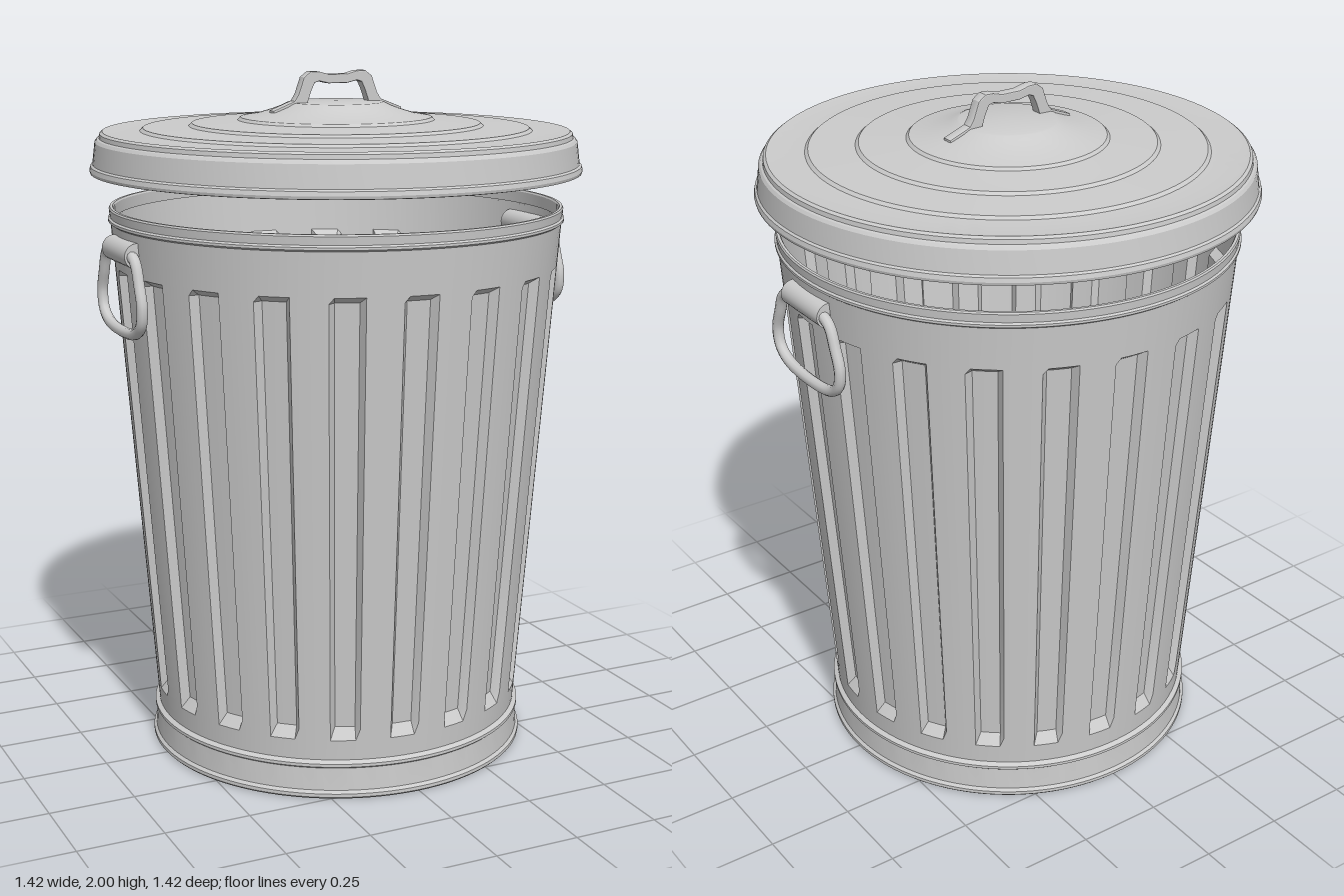
import * as THREE from 'three';
import { toCreasedNormals } from 'three/addons/utils/BufferGeometryUtils.js';

const metal = new THREE.MeshStandardMaterial({ color: 0xcccccc, side: THREE.DoubleSide });
const rad = THREE.MathUtils.degToRad;

function part(name, geometry, parent, crease = 0.5) {
  const mesh = new THREE.Mesh(crease ? toCreasedNormals(geometry, crease) : geometry, metal);
  mesh.name = name;
  parent.add(mesh);
  return mesh;
}

const lathe = (points) =>
  new THREE.LatheGeometry(points.map(([r, y]) => new THREE.Vector2(r, y)), 120);

// Tapered sheet wall with 20 pressed-in flutes
function flutedWall() {
  const flutes = 20, pitch = 360 / flutes, depth = 0.025;
  const offsets = [-9, -6.7, -4.4, -3.1, 0, 3.1, 4.4, 6.7];
  const heights = [0.11, 0.172, 0.205, 0.6, 1.0, 1.435, 1.452, 1.58];
  const cols = flutes * offsets.length;
  const positions = [], index = [];
  heights.forEach((y, j) => {
    const wall = 0.545 + (y - 0.11) * 0.075;
    for (let i = 0; i < cols; i++) {
      const off = offsets[i % offsets.length];
      const angle = rad(Math.floor(i / offsets.length) * pitch - 4.5 + off);
      const sunk = Math.abs(off) < 4 && j >= 2 && j <= 5;
      const r = wall - (sunk ? depth : 0);
      positions.push(r * Math.sin(angle), y, r * Math.cos(angle));
      if (j < heights.length - 1) {
        const a = j * cols + i, b = j * cols + ((i + 1) % cols);
        index.push(a, b, b + cols, a, b + cols, a + cols);
      }
    }
  });
  const geometry = new THREE.BufferGeometry();
  geometry.setAttribute('position', new THREE.Float32BufferAttribute(positions, 3));
  geometry.setIndex(index);
  return geometry;
}

// Hanging D-shaped ring held by a rolled sleeve, on the +x side
function sideHandle() {
  const group = new THREE.Group();
  const half = [[0.09, 1.518], [0.125, 1.5], [0.15, 1.445], [0.17, 1.385], [0.158, 1.335], [0.105, 1.303]];
  const loop = [...half, ...half.slice().reverse().map(([z, y]) => [-z, y])];
  const path = new THREE.CatmullRomCurve3(
    loop.map(([z, y]) => new THREE.Vector3(0.663, y, z)), true, 'centripetal');
  part('handleRing', new THREE.TubeGeometry(path, 96, 0.016, 10, true), group, 0);
  const sleeve = new THREE.CylinderGeometry(0.036, 0.036, 0.195, 24);
  sleeve.rotateX(Math.PI / 2).translate(0.649, 1.518, 0);
  part('handleSleeve', sleeve, group);
  return group;
}

// Bent strap on the lid, with feet lying along the slope
function lidHandle() {
  const outer = [[0.2, 1.89], [0.135, 1.915], [0.122, 1.935], [0.105, 1.982], [0.085, 1.997], [0.06, 1.996], [0.03, 1.988]];
  const inner = [[0.03, 1.968], [0.06, 1.975], [0.076, 1.97], [0.088, 1.945], [0.1, 1.91], [0.13, 1.892], [0.2, 1.868]];
  const flip = (points) => points.slice().reverse().map(([x, y]) => [-x, y]);
  const outline = [...outer, ...flip(outer), ...flip(inner), ...inner];
  const shape = new THREE.Shape(outline.map(([x, y]) => new THREE.Vector2(x, y)));
  const geometry = new THREE.ExtrudeGeometry(shape, {
    depth: 0.026, bevelEnabled: true, bevelThickness: 0.004, bevelSize: 0.003, bevelSegments: 2,
  });
  return geometry.translate(0, 0, -0.013);
}

export function createModel() {
  const model = new THREE.Group();
  model.name = 'trashCan';

  const can = new THREE.Group();
  can.name = 'can';
  model.add(can);
  part('flutedWall', flutedWall(), can);

  // Recessed floor, foot ring and base band
  part('base', lathe([
    [0, 0.03], [0.485, 0.03], [0.49, 0], [0.558, 0], [0.564, 0.006], [0.564, 0.016],
    [0.556, 0.024], [0.552, 0.09], [0.558, 0.095], [0.558, 0.104], [0.545, 0.112],
  ]), can);

  // Rolled upper rim
  part('rim', lathe([
    [0.655, 1.575], [0.662, 1.58], [0.662, 1.587], [0.657, 1.592], [0.659, 1.615],
    [0.656, 1.62], [0.648, 1.62], [0.645, 1.615], [0.645, 1.58],
  ]), can);

  // Ring handles on both sides
  for (const [name, turn] of [['leftHandle', 0], ['rightHandle', Math.PI]]) {
    const handle = sideHandle();
    handle.name = name;
    handle.rotation.y = turn;
    can.add(handle);
  }

  // Floating lid: beaded skirt, stepped rings and raised centre
  const lid = new THREE.Group();
  lid.name = 'lid';
  model.add(lid);
  part('lidShell', lathe([
    [0.7, 1.715], [0.709, 1.717], [0.711, 1.725], [0.708, 1.737], [0.702, 1.742],
    [0.694, 1.805], [0.688, 1.813], [0.682, 1.816], [0.68, 1.828], [0.672, 1.834], [0.66, 1.832],
    [0.565, 1.834], [0.556, 1.842], [0.425, 1.846], [0.416, 1.854], [0.36, 1.857],
    [0.284, 1.862], [0.276, 1.87], [0.23, 1.878], [0.19, 1.89], [0.16, 1.901],
    [0.142, 1.91], [0.136, 1.912], [0, 1.914],
  ]), lid, 0.4);
  part('lidHandle', lidHandle(), lid);

  return model;
}
